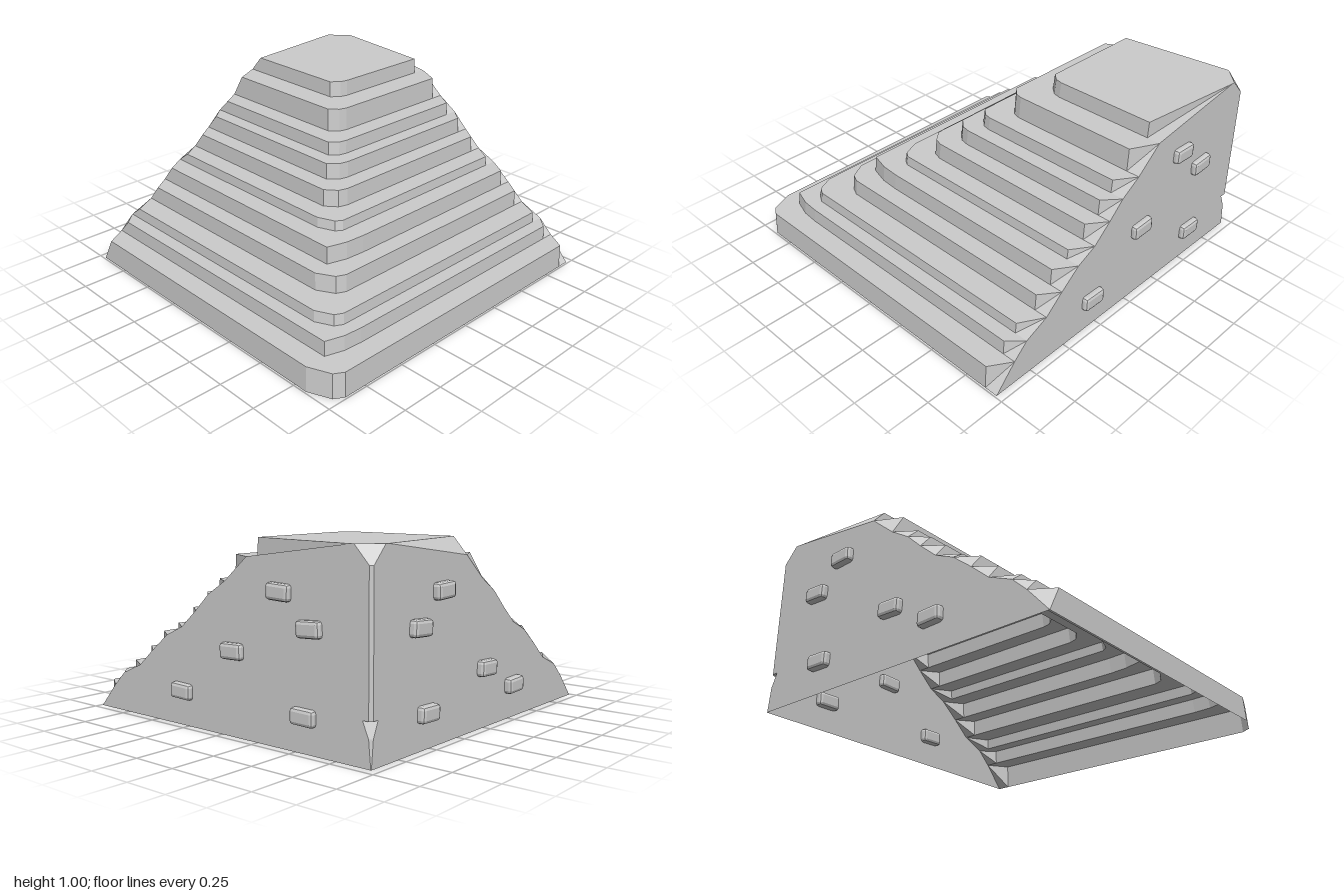
import * as THREE from 'three';
import { RoundedBoxGeometry } from 'three/addons/geometries/RoundedBoxGeometry.js';

const WALL = -0.957;   // plane of the two flat back walls
const END = -0.88;     // where each step begins to taper into a wall

// Each tier: reach along +x and +z, top height, corner cut along x and along z
const TIERS = [
  [0.99, 0.14, 0.16, 0.07],
  [0.865, 0.22, 0.04, 0.14],
  [0.78, 0.28, 0.12, 0.06],
  [0.64, 0.375, 0.12, 0.07],
  [0.53, 0.47, 0.04, 0.15],
  [0.41, 0.525, 0.12, 0.05],
  [0.29, 0.62, 0.08, 0.07],
  [0.18, 0.71, 0.06, 0.07],
  [0.085, 0.785, 0.05, 0.06],
  [-0.035, 0.915, 0.06, 0.06],
  [-0.19, 1.005, 0.05, 0.06],
];

// Outline of one level, counter-clockwise from above
function ring(reach, wallReach, y, cutX, cutZ, backCut) {
  return [
    [WALL, y, WALL + backCut],
    [WALL, y, wallReach],
    [END, y, reach],
    [reach - cutX, y, reach],
    [reach - cutX * 0.2, y, reach - cutZ * 0.75],
    [reach, y, reach - cutZ * 1.5],
    [reach, y, END],
    [wallReach, y, WALL],
    [WALL + backCut, y, WALL],
  ];
}

// Hollow stepped skin, open underneath
function steppedSkin() {
  const rings = [];
  let base = 0;
  TIERS.forEach(([reach, top, cutX, cutZ], i) => {
    const last = i === TIERS.length - 1;
    const wallTop = last ? -0.84 : TIERS[i + 1][0];
    const lowCut = i === 0 ? 0.002 : 0.015;
    const topCut = last ? 0.1 : i === 1 ? 0.05 : 0.015;
    rings.push(ring(reach, reach, base, cutX, cutZ, lowCut));
    rings.push(ring(reach - 0.006, wallTop, top, cutX, cutZ, topCut));
    base = top;
  });
  const n = rings[0].length;
  const index = [];
  for (let r = 0; r < rings.length - 1; r++) {
    for (let k = 0; k < n; k++) {
      const a = r * n + k, b = r * n + (k + 1) % n;
      index.push(a, b, b + n, a, b + n, a + n);
    }
  }
  // flat summit
  const s = (rings.length - 1) * n;
  for (let k = 1; k < n - 1; k++) index.push(s, s + k, s + k + 1);
  const geo = new THREE.BufferGeometry();
  geo.setAttribute('position', new THREE.Float32BufferAttribute(rings.flat(2), 3));
  geo.setIndex(index);
  const flat = geo.toNonIndexed();
  flat.computeVertexNormals();
  return flat;
}

export function createModel() {
  const group = new THREE.Group();
  group.name = 'corner step pyramid';
  const material = new THREE.MeshStandardMaterial({
    color: 0xcccccc, flatShading: true, side: THREE.DoubleSide,
  });

  const steps = new THREE.Mesh(steppedSkin(), material);
  steps.name = 'steppedBody';
  group.add(steps);

  // Small bricks standing proud of the walls: [along wall, height, tilt]
  const backBricks = [[-0.41, 0.76, 0.04], [-0.09, 0.44, -0.03], [-0.6, 0.6, -0.05], [0.29, 0.185, 0.03], [-0.56, 0.18, 0.02]];
  const sideBricks = [[-0.41, 0.76, -0.04], [-0.6, 0.6, 0.05], [0, 0.32, 0.04], [0.285, 0.185, -0.03], [-0.53, 0.18, 0.03]];
  const brick = new RoundedBoxGeometry(0.145, 0.085, 0.07, 1, 0.018);
  const addBricks = (list, name, onSide) => list.forEach(([along, y, tilt], i) => {
    const mesh = new THREE.Mesh(brick, material);
    mesh.name = name + (i + 1);
    if (onSide) {
      mesh.position.set(WALL - 0.006, y, along);
      mesh.rotation.set(0, Math.PI / 2, tilt);
    } else {
      mesh.position.set(along, y, WALL + 0.002);
      mesh.rotation.z = tilt;
    }
    group.add(mesh);
  });
  addBricks(backBricks, 'backBrick', false);
  addBricks(sideBricks, 'sideBrick', true);

  return group;
}
